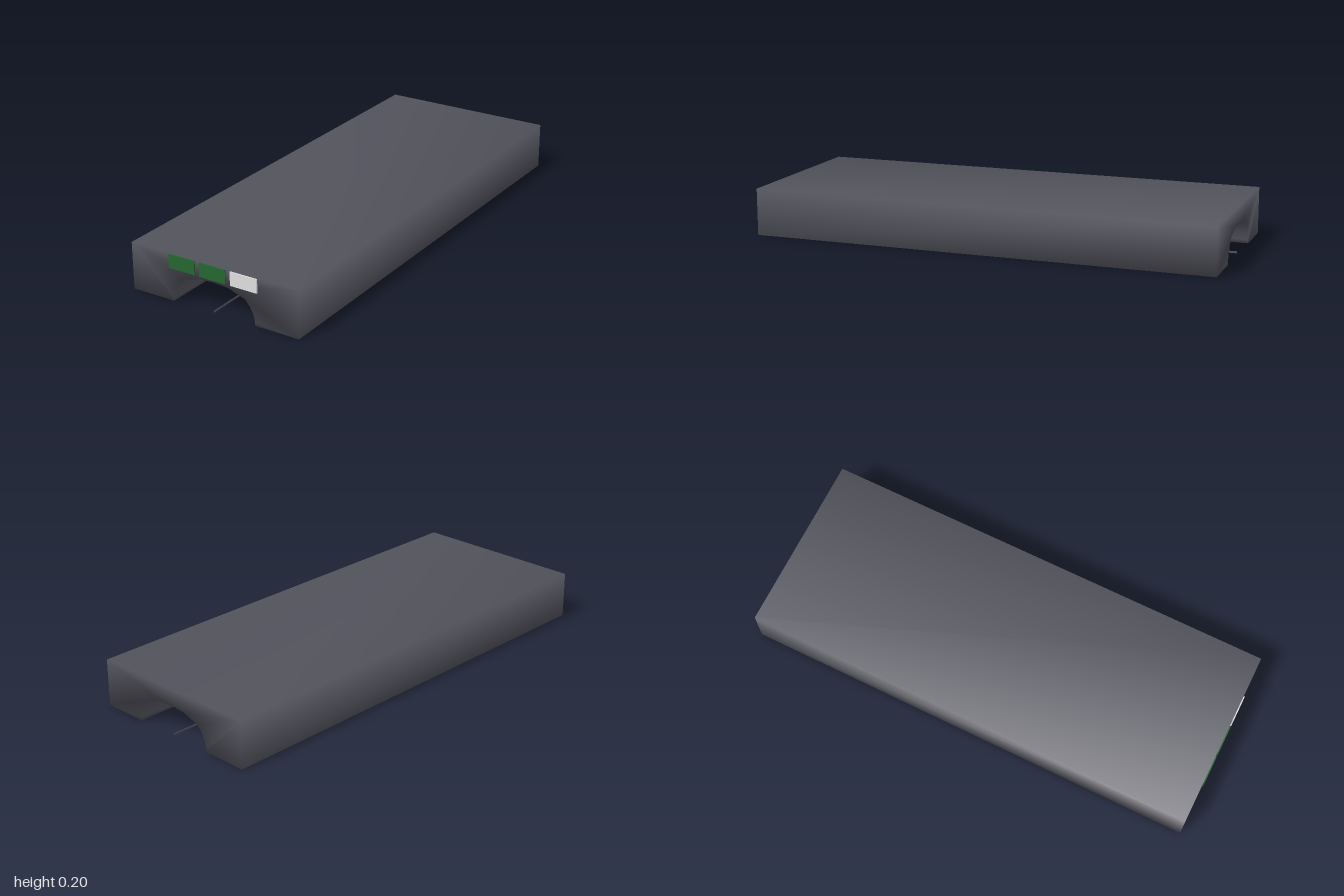
import * as THREE from 'three';
import { mergeVertices } from 'three/addons/utils/BufferGeometryUtils.js';

const mat = (name, color) => {
  const m = new THREE.MeshStandardMaterial({ color });
  m.name = name;
  return m;
};

export function createModel() {
  const charcoal = mat('charcoal', 0x52525c);
  const green = mat('green', 0x24662f);
  const white = mat('white', 0xdedede);
  const group = new THREE.Group();

  const add = (name, geometry, material, x = 0, y = 0, z = 0) => {
    const mesh = new THREE.Mesh(geometry, material);
    mesh.name = name;
    mesh.position.set(x, y, z);
    group.add(mesh);
  };

  // Slab with an arched tunnel running its whole length
  const halfArch = [[0.192, 0], [0.191, 0.015], [0.185, 0.045], [0.169, 0.075], [0.147, 0.1], [0.07, 0.126]];
  const outline = [
    [-0.39, 0], ...halfArch.map(([x, y]) => [-x, y]), [0, 0.131],
    ...[...halfArch].reverse(), [0.39, 0], [0.39, 0.202], [-0.39, 0.202],
  ];
  const shape = new THREE.Shape(outline.map(([x, y]) => new THREE.Vector2(x, y)));
  let body = new THREE.ExtrudeGeometry(shape, { depth: 1.995, bevelEnabled: false });
  // Shared corners give the soft shading across the slab
  body.deleteAttribute('normal');
  body.deleteAttribute('uv');
  body.clearGroups();
  body = mergeVertices(body, 1e-4);
  body.computeVertexNormals();
  add('body', body, charcoal, 0, 0, -1);

  // Three indicator panels above the arch
  const panel = new THREE.BoxGeometry(0.123, 0.059, 0.006);
  [['rightPanel', -0.145, green], ['middlePanel', 0, green], ['leftPanel', 0.145, white]]
    .forEach(([name, x, m]) => add(name, panel, m, x, 0.17, 0.997));

  // Hair-thin rail along the tunnel floor
  add('centreRail', new THREE.BoxGeometry(0.002, 0.008, 1.99), charcoal, 0, 0.006, 0);

  return group;
}
